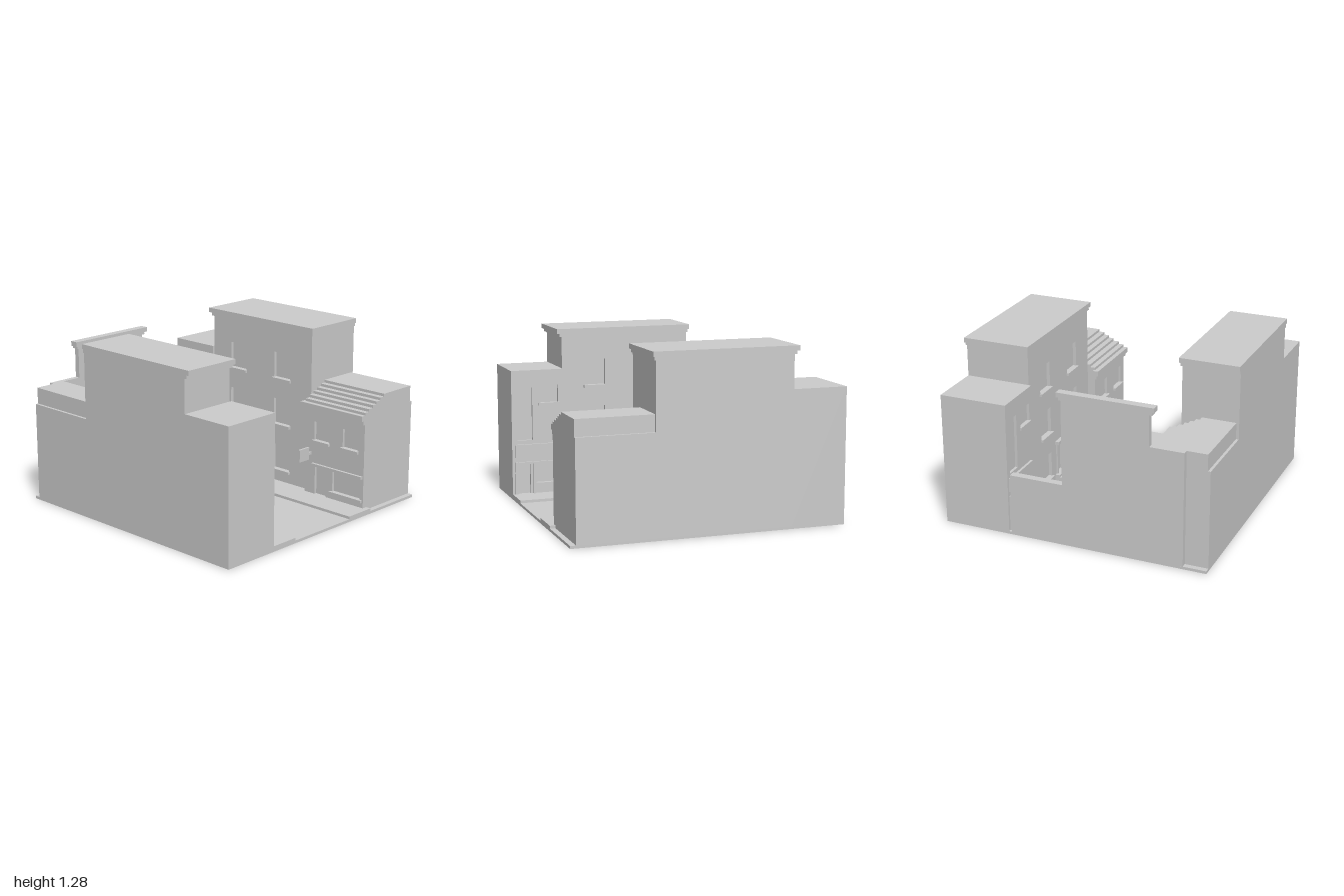
import * as THREE from 'three';

const material = new THREE.MeshStandardMaterial({ color: 0xcccccc, flatShading: true });

function add(parent, name, geometry) {
  const mesh = new THREE.Mesh(geometry, material);
  mesh.name = name;
  parent.add(mesh);
  return mesh;
}

// Box given by its limits on each axis
function box(parent, name, x0, x1, y0, y1, z0, z1) {
  const mesh = add(parent, name, new THREE.BoxGeometry(x1 - x0, y1 - y0, z1 - z0));
  mesh.position.set((x0 + x1) / 2, (y0 + y1) / 2, (z0 + z1) / 2);
  return mesh;
}

function rectPoints(u0, u1, y0, y1) {
  return [[u0, y0], [u1, y0], [u1, y1], [u0, y1]].map(([u, y]) => new THREE.Vector2(u, y));
}

// Wall skin with rectangular openings
function panel(parent, name, [u0, u1, y0, y1], openings, depth) {
  const shape = new THREE.Shape(rectPoints(u0, u1, y0, y1));
  for (const o of openings) shape.holes.push(new THREE.Path(rectPoints(...o).reverse()));
  return add(parent, name, new THREE.ExtrudeGeometry(shape, { depth, bevelEnabled: false }));
}

// Wall skin facing +x; limits and openings are given as [z0, z1, y0, y1]
function streetWall(parent, name, front, limits, openings, depth = 0.02) {
  const flip = ([z0, z1, y0, y1]) => [-z1, -z0, y0, y1];
  const mesh = panel(parent, name, flip(limits), openings.map(flip), depth);
  mesh.rotation.y = Math.PI / 2;
  mesh.position.x = front - depth;
}

function shopBlock(row, d) {
  const g = new THREE.Group();
  g.name = 'cornerShop';
  row.add(g);
  box(g, 'shopBody', -d, -0.02, 0.02, 0.98, 0.6, 1);
  streetWall(g, 'shopWall', 0, [0.6, 1, 0.02, 0.98], [
    [0.84, 0.96, 0.45, 0.85], [0.64, 0.78, 0.73, 0.86],
    [0.86, 0.95, 0.04, 0.28], [0.66, 0.81, 0.12, 0.27],
  ]);
  box(g, 'shopSignBand', 0, 0.018, 0.32, 0.42, 0.64, 0.98);
  box(g, 'shopLintel', 0, 0.015, 0.27, 0.285, 0.64, 0.98);
  for (const z of [0.64, 0.82, 0.96]) box(g, 'shopPilaster', 0, 0.015, 0.02, 0.28, z, z + 0.02);
  box(g, 'shopSill', 0, 0.015, 0.1, 0.12, 0.64, 0.84);
  box(g, 'squareWindowSill', 0, 0.012, 0.71, 0.73, 0.63, 0.79);
}

function tallHouse(row, d) {
  const g = new THREE.Group();
  g.name = 'tallHouse';
  row.add(g);
  const front = -0.02, mid = 0.115;
  box(g, 'houseBody', -d, front - 0.025, 0.02, 1.28, -0.4, 0.6);
  const openings = [[mid - 0.05, mid + 0.05, 0.1, 0.34]];
  for (const y of [0.125, 0.485, 0.845]) {
    for (const z of [mid - 0.225, mid + 0.225]) {
      openings.push([z - 0.08, z + 0.08, y, y + 0.195]);
      box(g, 'windowSill', front, 0, y - 0.02, y, z - 0.09, z + 0.09);
    }
  }
  streetWall(g, 'houseWall', front, [-0.4, 0.6, 0.02, 1.22], openings, 0.025);
  box(g, 'lowerCornice', -d, -0.01, 1.22, 1.245, -0.41, 0.62);
  box(g, 'upperCornice', -d, 0, 1.245, 1.28, -0.42, 0.64);
  // Door surround and steps
  box(g, 'doorHood', front, 0.01, 0.35, 0.375, mid - 0.08, mid + 0.08);
  for (const s of [-1, 1]) {
    const z = mid + s * 0.058;
    box(g, 'doorJamb', front, -0.008, 0.1, 0.35, z - 0.008, z + 0.008);
  }
  for (let i = 0; i < 4; i++) {
    const half = i === 0 ? 0.1 : 0.085;
    box(g, 'doorStep', front, 0.075 - i * 0.02, 0.03, 0.055 + i * 0.017, mid - half, mid + half);
  }
}

function steppedHouse(row, d) {
  const g = new THREE.Group();
  g.name = 'steppedRoofHouse';
  row.add(g);
  const front = 0.04;
  box(g, 'lowBody', -d, front - 0.02, 0.02, 0.74, -0.96, -0.4);
  streetWall(g, 'lowWall', front, [-0.96, -0.4, 0.02, 0.74], [
    [-0.63, -0.49, 0.46, 0.6], [-0.9, -0.76, 0.46, 0.6],
    [-0.61, -0.5, 0.04, 0.26], [-0.93, -0.67, 0.1, 0.26],
  ]);
  for (const z of [-0.56, -0.83]) box(g, 'upperSill', front, 0.06, 0.44, 0.46, z - 0.08, z + 0.08);
  box(g, 'shopLintel', front, 0.06, 0.26, 0.28, -0.95, -0.48);
  box(g, 'shopSill', front, 0.06, 0.08, 0.1, -0.95, -0.65);
  // Eaves and stepped roof
  box(g, 'lowerEave', front - 0.01, 0.057, 0.67, 0.7, -0.96, -0.39);
  box(g, 'upperEave', front - 0.01, 0.075, 0.7, 0.74, -0.96, -0.38);
  const edges = [0.04, 0, -0.045, -0.085, -0.127, -0.17];
  edges.forEach((x, i) => {
    const y = 0.74 + i * 0.02;
    box(g, 'roofStep', -d + 0.02, x, y, y + 0.02, -0.96, -0.4);
  });
  // Hanging sign
  box(g, 'signArm', front, 0.07, 0.34, 0.36, -0.463, -0.447);
  box(g, 'hangingSign', 0.065, 0.17, 0.305, 0.4, -0.463, -0.447);
}

// A row of three houses facing +x, with its building line at x = 0
function houseRow(name, depth) {
  const row = new THREE.Group();
  row.name = name;
  shopBlock(row, depth);
  tallHouse(row, depth);
  steppedHouse(row, depth);
  return row;
}

// Thin house front closing the end of the street
function endHouse(parent) {
  const g = new THREE.Group();
  g.name = 'endHouse';
  parent.add(g);
  const openings = [[-0.29, -0.19, 0.04, 0.22]];
  for (const x of [-0.45, -0.17]) {
    const w = x < -0.3 ? 0.1 : 0.12;
    for (const [y, top] of [[0.36, 0.565], [0.7, 0.9]]) {
      openings.push([x, x + w, y, top]);
      box(g, 'endSill', x, x + w, y - 0.02, y, -0.965, -0.945);
    }
  }
  openings.push([-0.45, -0.35, 0.045, 0.22], [-0.15, -0.05, 0.045, 0.22]);
  panel(g, 'endWall', [-0.57, 0.07, 0.02, 1.12], openings, 0.02).position.z = -0.98;
  box(g, 'endBacking', -0.57, 0.07, 0.02, 1.12, -1, -0.98);
  box(g, 'endDoorHood', -0.31, -0.17, 0.22, 0.28, -0.965, -0.945);
  box(g, 'endLowerCornice', -0.59, 0.087, 1.085, 1.105, -1, -0.95);
  box(g, 'endUpperCornice', -0.605, 0.105, 1.105, 1.14, -1, -0.94);
  // Lower walls on both sides
  box(g, 'sideWall', -0.82, -0.57, 0.02, 0.86, -1, -0.96);
  box(g, 'yardWall', 0.07, 0.47, 0.02, 0.46, -1, -0.96);
  box(g, 'yardWallBand', 0.07, 0.47, 0.385, 0.46, -0.96, -0.945);
}

export function createModel() {
  const model = new THREE.Group();
  model.name = 'streetBlock';

  // Ground slab with a raised pavement around the road
  box(model, 'road', -0.99, 0.99, 0, 0.02, -1, 1);
  box(model, 'leftPavement', -0.57, -0.33, 0.02, 0.04, -0.96, 1);
  box(model, 'rightPavement', 0.25, 0.49, 0.02, 0.04, -0.96, 1);
  box(model, 'endPavement', -0.33, 0.25, 0.02, 0.04, -0.97, -0.8);

  // Two facing rows, the second turned half round
  const westRow = houseRow('westRow', 0.44);
  westRow.position.x = -0.55;
  const eastRow = houseRow('eastRow', 0.5);
  eastRow.position.x = 0.49;
  eastRow.rotation.y = Math.PI;
  model.add(westRow, eastRow);

  endHouse(model);
  return model;
}
